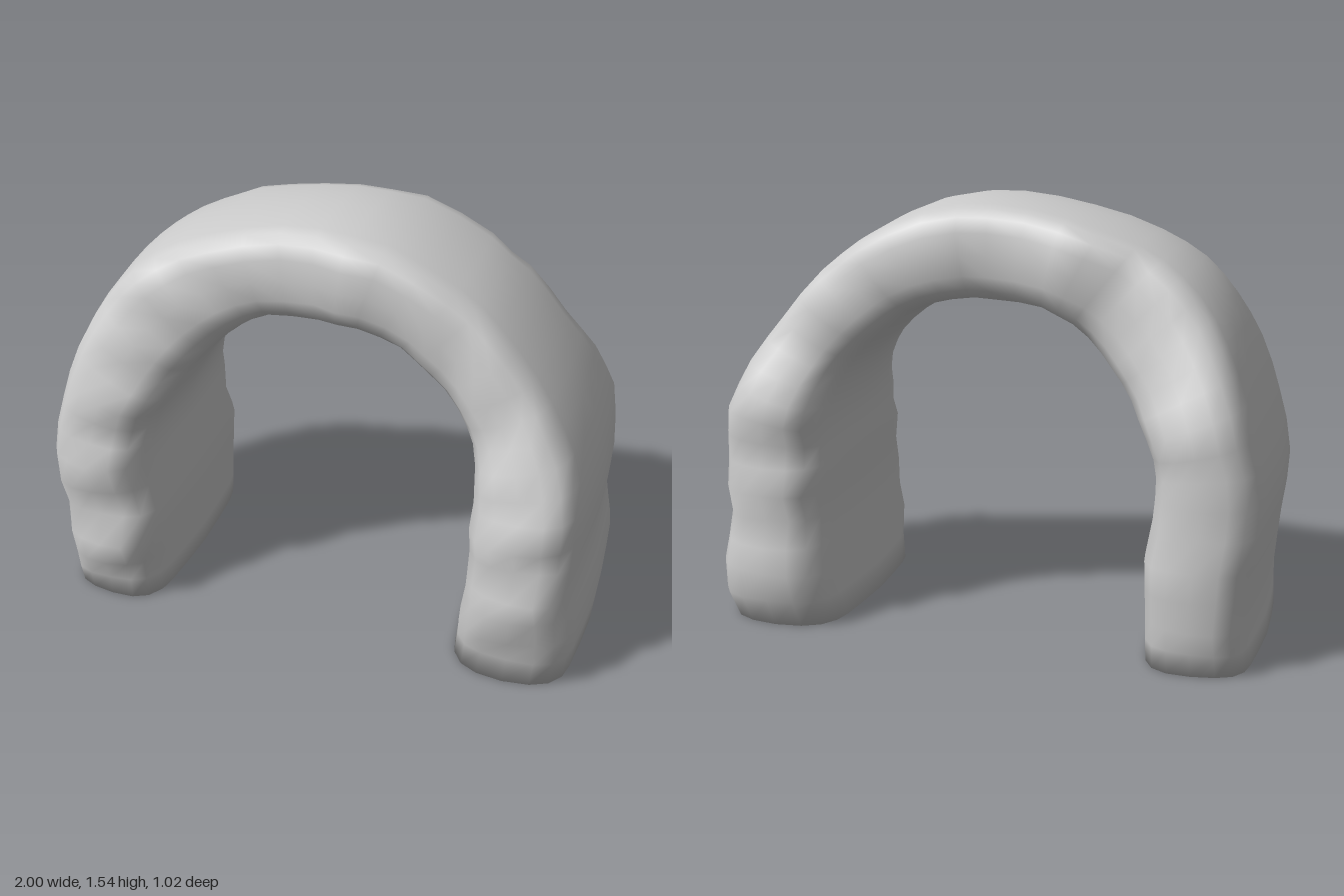
import * as THREE from 'three';

// Matched outline points from the foot at -x, over the crown, to the foot at +x
const OUTER = [[-.97, 0], [-.96, .17], [-.98, .38], [-1, .6], [-.955, .82], [-.885, 1.03], [-.795, 1.2], [-.68, 1.33], [-.52, 1.425],
  [-.27, 1.505], [0, 1.545], [.24, 1.52], [.49, 1.4], [.63, 1.29], [.77, 1.13], [.88, .97], [.96, .8], [.985, .6], [.97, .4], [1, .22], [.985, 0]];
const INNER = [[-.575, 0], [-.575, .17], [-.57, .38], [-.6, .6], [-.59, .72], [-.53, .84], [-.46, .94], [-.38, 1.03], [-.28, 1.12],
  [-.18, 1.17], [0, 1.185], [.14, 1.185], [.28, 1.14], [.38, 1.07], [.49, .97], [.55, .86], [.575, .73], [.57, .59], [.575, .4], [.55, .2], [.525, 0]];
// Weathered depth of the front and back faces, foot to foot
const FRONT = [.44, .46, .48, .51, .47, .49, .5, .48, .46, .465, .44, .4, .38, .36, .345, .33, .31, .3, .285, .285,
  .295, .325, .31, .31, .305, .31, .315, .325, .34, .355, .38, .41, .455, .465, .505, .475, .525, .5, .505, .46, .44];
const BACK = [.45, .47, .49, .48, .505, .47, .49, .47, .48, .465, .43, .39, .36, .34, .32, .3, .295, .325, .305, .29,
  .285, .29, .335, .33, .345, .33, .355, .36, .37, .395, .44, .47, .495, .465, .47, .505, .475, .5, .52, .51, .455];
// Half section with crowned faces and soft corners: u runs outer (1) to inner (-1), w is depth
const HALF = [[1, 0], [.97, .35], [.92, .66], [.86, .81], [.7, .92], [.42, .98], [0, 1], [-.42, .98], [-.7, .915], [-.87, .79], [-.93, .64], [-.97, .35], [-1, 0]];
const SECTION = [...HALF, ...HALF.slice(1, -1).reverse().map(([u, w]) => [u, -w])];

function archGeometry() {
  const curve = pts => new THREE.CatmullRomCurve3(pts.map(([x, y]) => new THREE.Vector3(x, y, 0)));
  const outer = curve(OUTER), inner = curve(INNER);
  const rings = FRONT.length - 1, n = SECTION.length;
  const pos = [], index = [];

  for (let i = 0; i <= rings; i++) {
    const o = outer.getPoint(i / rings), q = inner.getPoint(i / rings);
    for (const [u, w] of SECTION) {
      // Slanting hollows worn into the front and back faces
      const wear = 1 - .018 * (1 + Math.sin(i * 2 + u * 2.4));
      const s = (u + 1) / 2;
      const z = w * wear * (w > 0 ? FRONT[i] : BACK[i]);
      pos.push(q.x + (o.x - q.x) * s, Math.max(0, q.y + (o.y - q.y) * s), z);
    }
  }
  for (let i = 0; i < rings; i++) {
    for (let j = 0; j < n; j++) {
      const a = i * n + j, b = i * n + (j + 1) % n;
      index.push(a, b, b + n, a, b + n, a + n);
    }
  }
  // Soles of the two feet
  for (const end of [0, rings]) {
    const c = pos.length / 3;
    const k = end ? OUTER.length - 1 : 0;
    pos.push((OUTER[k][0] + INNER[k][0]) / 2, 0, 0);
    for (let j = 0; j < n; j++) {
      const a = end * n + j, b = end * n + (j + 1) % n;
      if (end) index.push(c, a, b);
      else index.push(c, b, a);
    }
  }
  const g = new THREE.BufferGeometry();
  g.setAttribute('position', new THREE.Float32BufferAttribute(pos, 3));
  g.setIndex(index);
  g.computeVertexNormals();
  return g;
}

export function createModel() {
  const group = new THREE.Group();
  group.name = 'rockArch';
  const stone = new THREE.MeshStandardMaterial({ color: 0xcccccc });
  stone.name = 'pale grey stone';
  const arch = new THREE.Mesh(archGeometry(), stone);
  arch.name = 'arch';
  group.add(arch);
  return group;
}
